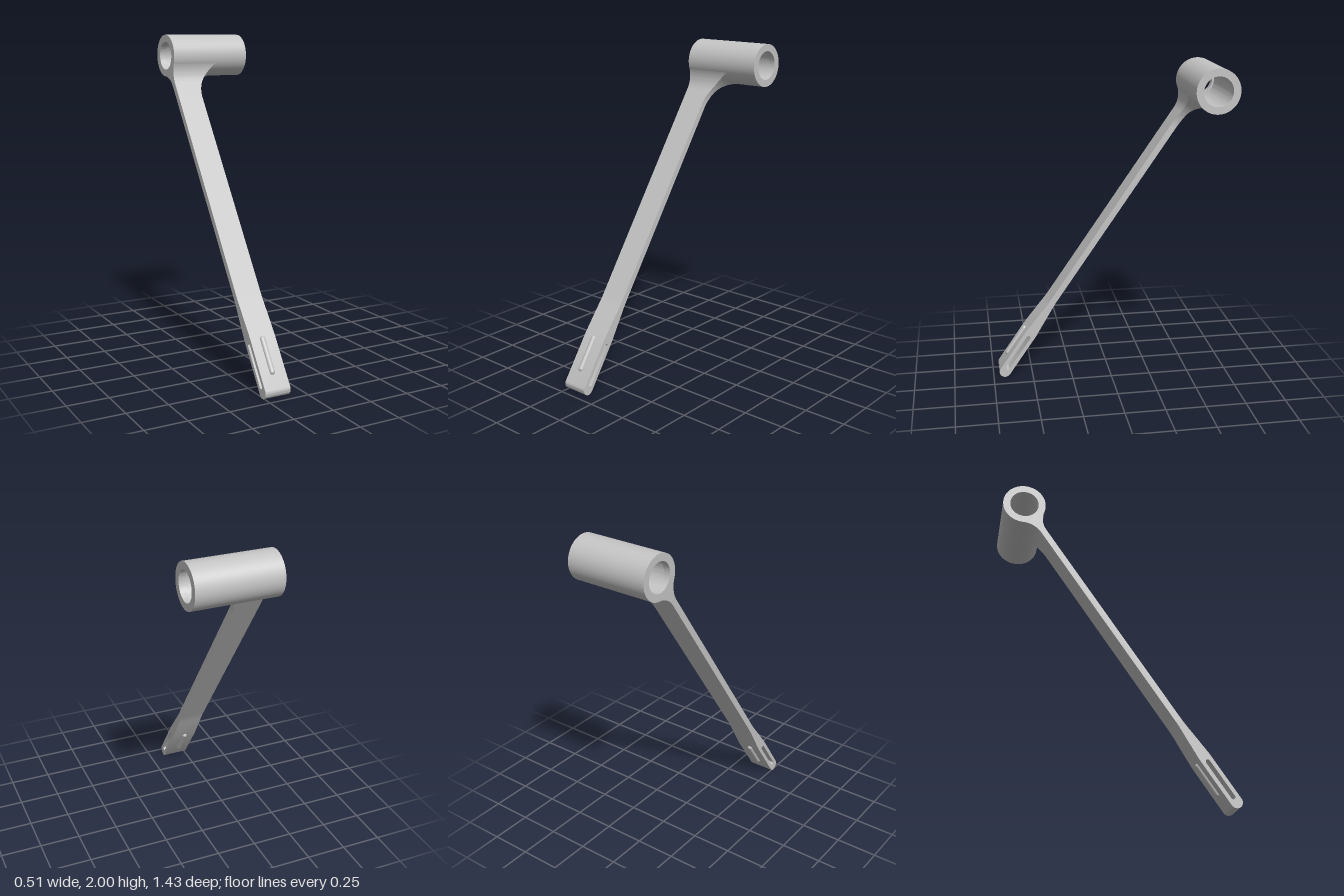
import * as THREE from 'three';
import { toCreasedNormals } from 'three/addons/utils/BufferGeometryUtils.js';

// Local frame of the lever: x = thickness, y = along the arm, z = width (towards the model's right)
const LENGTH = 2.223, SIDE = 0.257, EDGE = 0.095;
const TIP_R = 0.036, ARM_HALF = 0.019, TUBE_R = 0.132, BORE_R = 0.088;
const FLARE_START = 1.895, TANGENT = 2.117;

export function createModel() {
  const metal = new THREE.MeshStandardMaterial({ color: 0xc4c4c4 });
  metal.name = 'light grey metal';
  const model = new THREE.Group();
  model.name = 'lever';
  const add = (name, geometry) => {
    const mesh = new THREE.Mesh(geometry, metal);
    mesh.name = name;
    model.add(mesh);
    return mesh;
  };

  // Flat arm with thickened, rounded and slotted tip
  const profile = new THREE.Shape();
  profile.moveTo(-ARM_HALF, FLARE_START);
  profile.lineTo(-ARM_HALF, 0.58);
  profile.quadraticCurveTo(-ARM_HALF, 0.53, -0.024, 0.48);
  profile.lineTo(-TIP_R, 0.31);
  profile.lineTo(-TIP_R, 0);
  profile.absarc(0, 0, TIP_R, Math.PI, Math.PI * 2, false);
  profile.lineTo(TIP_R, 0.31);
  profile.lineTo(0.024, 0.48);
  profile.quadraticCurveTo(ARM_HALF, 0.53, ARM_HALF, 0.58);
  profile.lineTo(ARM_HALF, FLARE_START);
  profile.closePath();
  const slot = new THREE.Path();
  slot.absarc(0, 0.033, 0.013, Math.PI, Math.PI * 2, false);
  slot.absarc(0, 0.275, 0.013, 0, Math.PI, false);
  slot.closePath();
  profile.holes.push(slot);
  const arm = new THREE.ExtrudeGeometry(profile, {
    depth: SIDE - EDGE, bevelEnabled: false, curveSegments: 16,
  });
  arm.translate(0, 0, EDGE);
  add('arm', toCreasedNormals(arm, 0.6));

  // Raised rounded ribs on both faces of the tip
  for (const side of [-1, 1]) {
    const rib = add(side > 0 ? 'frontRib' : 'backRib', new THREE.CapsuleGeometry(0.0165, 0.195, 8, 20));
    rib.position.set(side * 0.035, 0.195, 0.18);
  }

  // Flared neck: thickens by a tangent fillet and widens along a concave arc
  const filletR = 0.146, filletStart = 2.0, arcR = 0.242;
  const halfThickness = (u) => {
    const d = Math.max(0, u - filletStart);
    return ARM_HALF + filletR - Math.sqrt(filletR ** 2 - d ** 2);
  };
  const widening = (u) => arcR - Math.sqrt(arcR ** 2 - (u - FLARE_START) ** 2);
  const neck = new THREE.BoxGeometry(1, 1, 1, 1, 28, 1);
  const p = neck.attributes.position;
  for (let i = 0; i < p.count; i++) {
    const u = FLARE_START + (p.getY(i) + 0.5) * (TANGENT - FLARE_START);
    p.setXYZ(i, p.getX(i) * 2 * halfThickness(u), u, p.getZ(i) > 0 ? SIDE : EDGE - widening(u));
  }
  add('flaredNeck', toCreasedNormals(neck, 0.5));

  // Pivot tube with a recess between two bore lips
  const lip = 0.04, recessR = 0.1;
  const wall = [
    [TUBE_R, -SIDE], [TUBE_R, SIDE], [BORE_R, SIDE], [BORE_R, SIDE - lip], [recessR, SIDE - lip],
    [recessR, -SIDE + lip], [BORE_R, -SIDE + lip], [BORE_R, -SIDE], [TUBE_R, -SIDE],
  ].map(([r, y]) => new THREE.Vector2(r, y));
  const tube = new THREE.LatheGeometry(wall, 72);
  tube.rotateX(Math.PI / 2);
  tube.translate(0, LENGTH, 0);
  add('pivotTube', toCreasedNormals(tube, 0.5));

  // Lean the lever backwards
  const s = 0.566, c = 0.8244;
  const basis = new THREE.Matrix4().makeBasis(
    new THREE.Vector3(0, s, c), new THREE.Vector3(0, c, -s), new THREE.Vector3(-1, 0, 0));
  model.quaternion.setFromRotationMatrix(basis);
  model.position.set(0, 0.036, 0.677);
  const root = new THREE.Group();
  root.name = 'pivotLever';
  root.add(model);
  return root;
}
